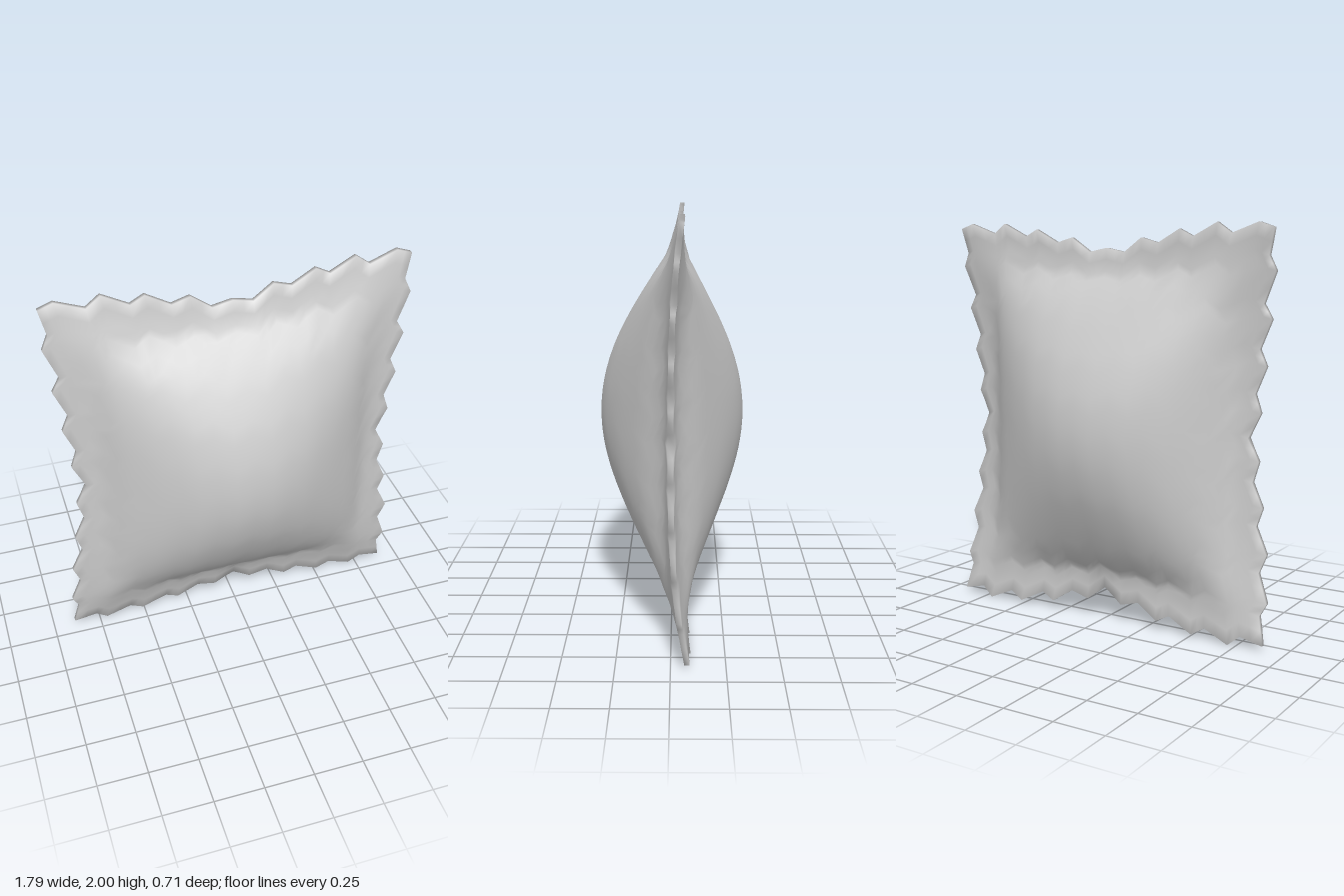
import * as THREE from 'three';
import { mergeGeometries, mergeVertices } from 'three/addons/utils/BufferGeometryUtils.js';

// Zigzag crimped edges: half profiles for top and bottom (centre to corner), full profile for the side (top to bottom)
const topHalf = [[0, 1.88], [0.1, 1.86], [0.2, 1.93], [0.29, 1.905], [0.41, 1.97], [0.48, 1.935],
  [0.61, 2], [0.68, 1.95], [0.82, 2], [0.893, 1.975]];
const bottomHalf = [[0, 0.165], [0.1, 0.09], [0.2, 0.115], [0.31, 0.045], [0.38, 0.08], [0.51, 0.015],
  [0.58, 0.055], [0.71, 0], [0.77, 0.05], [0.888, 0.025]];
const side = [[0.893, 1.975], [0.863, 1.85], [0.895, 1.78], [0.833, 1.63], [0.873, 1.56], [0.813, 1.42],
  [0.848, 1.34], [0.793, 1.21], [0.823, 1.12], [0.763, 1], [0.818, 0.89], [0.788, 0.79], [0.843, 0.67],
  [0.813, 0.58], [0.873, 0.45], [0.838, 0.36], [0.89, 0.22], [0.858, 0.16], [0.888, 0.025]];

const mirrorX = (pts) => pts.map(([x, y]) => [-x, y]);
const fullEdge = (half) => [...mirrorX(half.slice(1)).reverse(), ...half];
const top = fullEdge(topHalf);
const bottom = fullEdge(bottomHalf);
const right = [...side].reverse();
const left = mirrorX(right);

// Point at parameter t (0..1) along a polyline edge
function along(pts, t) {
  const f = t * (pts.length - 1);
  const i = Math.min(Math.floor(f), pts.length - 2);
  return [0, 1].map((k) => THREE.MathUtils.lerp(pts[i][k], pts[i + 1][k], f - i));
}

// Blend the four edges into a filled patch
function patch(u, v) {
  const b = along(bottom, u), t = along(top, u), l = along(left, v), r = along(right, v);
  return [0, 1].map((k) =>
    (1 - v) * b[k] + v * t[k] + (1 - u) * l[k] + u * r[k]
    - (1 - u) * (1 - v) * bottom[0][k] - u * (1 - v) * bottom[18][k]
    - (1 - u) * v * top[0][k] - u * v * top[18][k]);
}

// Half thickness: a wedge-shaped rim plus a squarish puffed filling
const hump = (d, reach) => Math.pow(Math.max(0, 1 - (d / reach) ** 2), 1.15);
const ramp = (d) => THREE.MathUtils.clamp(d / 0.2, 0, 1);
function halfThickness(x, y) {
  const h = y - 1;
  const a = hump(x, 0.7), b = hump(h, 0.76);
  const rim = ramp(0.79 + 0.09 * h * h - Math.abs(x)) * ramp(0.86 + 0.16 * x * x - Math.abs(h));
  return 0.012 + 0.043 * rim + 0.3 * a * b * (1 + 1.2 * (1 - a) * (1 - b));
}

// Backward curl of the top and bottom rims
const curl = (y) => -(y > 1 ? 0.05 : 0.08) * Math.abs(y - 1) ** 3;

// Grid lines follow every zigzag corner
const N = 36;

function surfacePoint(u, v, sign) {
  const [x, y] = patch(u, v);
  return [x, y, curl(y) + sign * halfThickness(x, y)];
}

// Grid of quads over a function of column and row
function gridGeometry(cols, rows, point) {
  const positions = [], index = [];
  for (let j = 0; j <= rows; j++) {
    for (let i = 0; i <= cols; i++) {
      positions.push(...point(i, j));
      if (i < cols && j < rows) {
        const a = j * (cols + 1) + i, c = a + cols + 1;
        index.push(a, a + 1, c + 1, a, c + 1, c);
      }
    }
  }
  const g = new THREE.BufferGeometry();
  g.setAttribute('position', new THREE.Float32BufferAttribute(positions, 3));
  g.setIndex(index);
  return g;
}

// Parameters of the i-th rim point, counterclockwise from the lower left corner
function rimPoint(i) {
  const t = (i % N) / N;
  return [[t, 0], [1, t], [1 - t, 1], [0, 1 - t]][Math.floor(i / N) % 4];
}

export function createModel() {
  const group = new THREE.Group();
  group.name = 'stuffedPasta';
  // Front and back sheets and the narrow cut edge, welded for smooth shading
  const front = gridGeometry(N, N, (i, j) => surfacePoint(i / N, j / N, 1));
  const back = gridGeometry(N, N, (i, j) => surfacePoint(1 - i / N, j / N, -1));
  const cutEdge = gridGeometry(4 * N, 1, (i, j) => surfacePoint(...rimPoint(i), j ? 1 : -1));
  const geometry = mergeVertices(mergeGeometries([front, back, cutEdge]), 1e-4);
  geometry.computeVertexNormals();
  const pillow = new THREE.Mesh(geometry, new THREE.MeshStandardMaterial({ color: 0xcccccc }));
  pillow.name = 'pastaPillow';
  group.add(pillow);
  return group;
}
